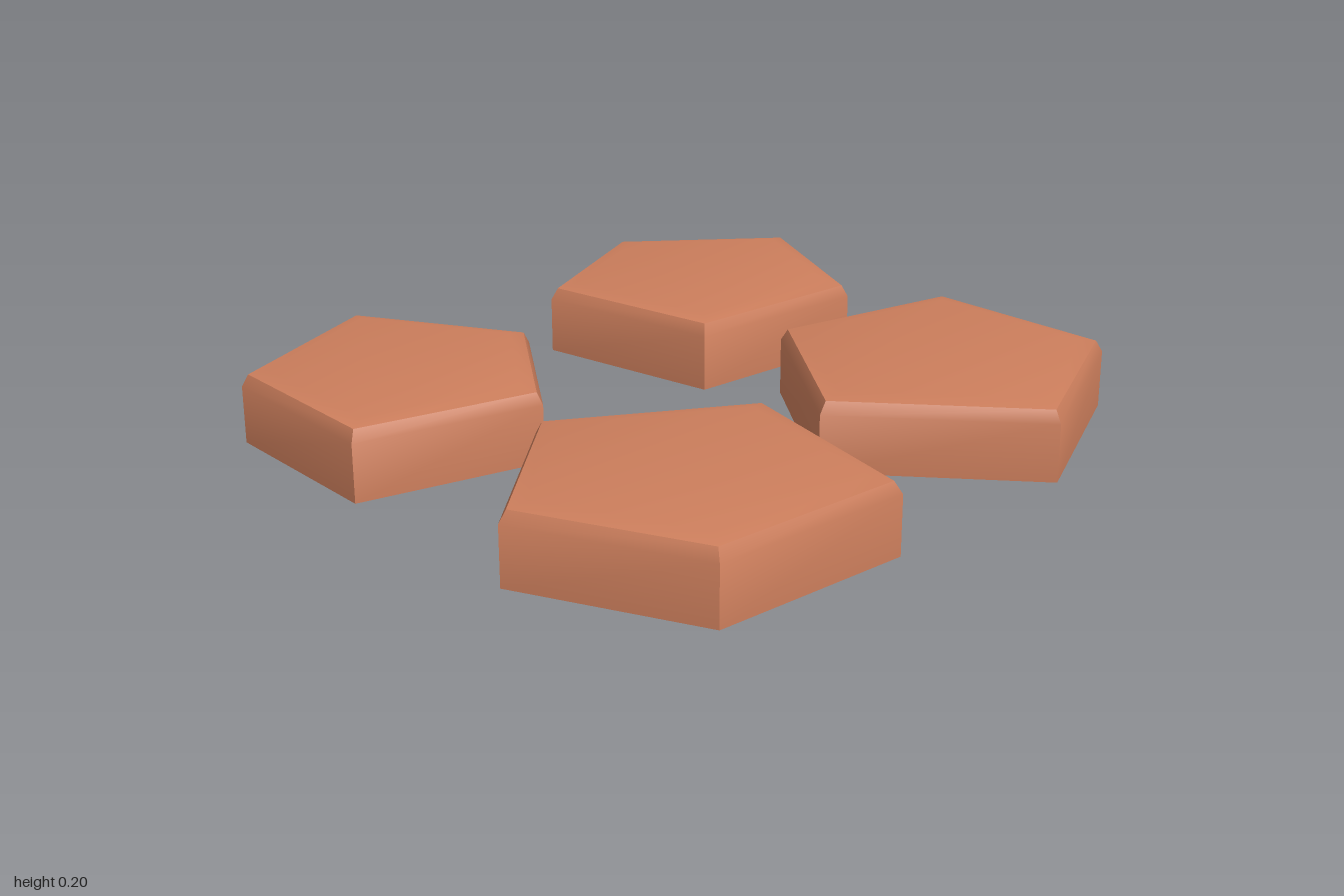
import * as THREE from 'three';
import { toCreasedNormals } from 'three/addons/utils/BufferGeometryUtils.js';

// Corner positions [x, z] of each paving stone, clockwise seen from above
const STONES = {
  backRightStone: [[-0.97, -0.695], [-0.465, -0.92], [-0.19, -0.46], [-0.465, -0.05], [-0.98, -0.16]],
  backLeftStone: [[0.095, -0.715], [0.57, -0.96], [0.995, -0.64], [0.77, -0.14], [0.205, -0.16]],
  frontRightStone: [[-0.59, 0.08], [-0.075, 0.37], [-0.2, 0.96], [-0.77, 0.945], [-1, 0.46]],
  frontLeftStone: [[0.35, 0], [0.92, 0.1], [0.94, 0.67], [0.42, 0.935], [0.015, 0.48]],
};

// Section from the ground to the top: [height, scale towards the stone's middle]
const SECTION = [[0, 1], [0.16, 1], [0.193, 0.957], [0.203, 0.84]];

// Hollow stone: upright walls, bevelled rim, slightly raised top, open underside
function stoneGeometry(corners) {
  const pts = [...corners].reverse();
  const n = pts.length;
  const cx = pts.reduce((s, p) => s + p[0], 0) / n;
  const cz = pts.reduce((s, p) => s + p[1], 0) / n;
  const positions = [];
  const indices = [];

  SECTION.forEach(([y, scale]) => {
    for (const [x, z] of pts) positions.push(cx + (x - cx) * scale, y, cz + (z - cz) * scale);
  });
  for (let r = 0; r < SECTION.length - 1; r++) {
    for (let i = 0; i < n; i++) {
      const j = (i + 1) % n;
      const a = r * n + i, b = r * n + j;
      indices.push(a, b, b + n, a, b + n, a + n);
    }
  }
  // Top face
  const t = (SECTION.length - 1) * n;
  for (let i = 1; i < n - 1; i++) indices.push(t, t + i, t + i + 1);

  const geometry = new THREE.BufferGeometry();
  geometry.setAttribute('position', new THREE.Float32BufferAttribute(positions, 3));
  geometry.setIndex(indices);
  return toCreasedNormals(geometry, 0.72);
}

export function createModel() {
  const group = new THREE.Group();
  group.name = 'pavingStones';
  const terracotta = new THREE.MeshStandardMaterial({ color: 0xcc7e5c, side: THREE.DoubleSide });
  terracotta.name = 'terracotta';

  for (const [name, corners] of Object.entries(STONES)) {
    const stone = new THREE.Mesh(stoneGeometry(corners), terracotta);
    stone.name = name;
    group.add(stone);
  }
  return group;
}
